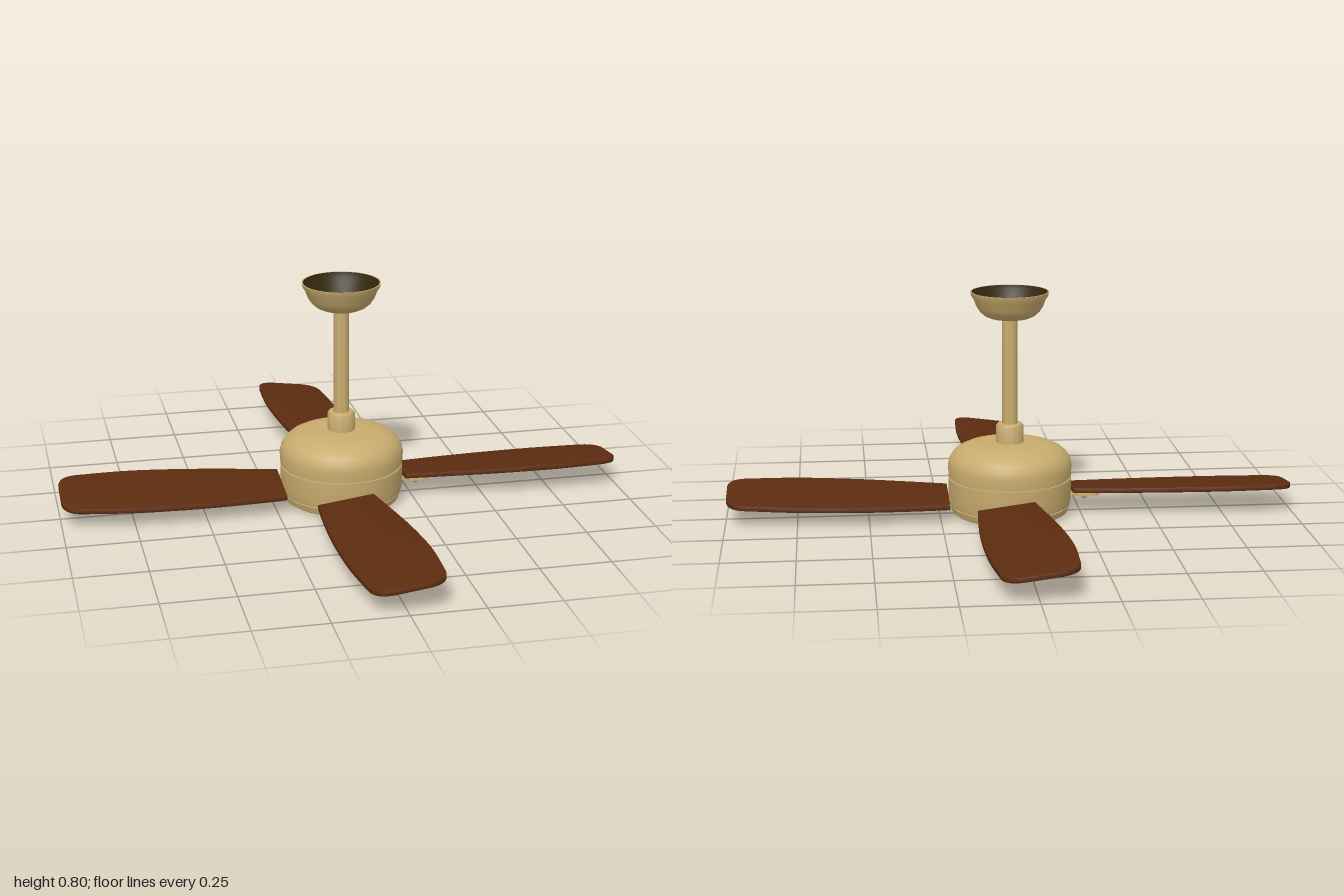
import * as THREE from 'three';
import { toCreasedNormals } from 'three/addons/utils/BufferGeometryUtils.js';

const brass = new THREE.MeshStandardMaterial({ color: 0xc8ab6e });
brass.name = 'satin brass';
const wood = new THREE.MeshStandardMaterial({ color: 0x5c2c10 });
wood.name = 'dark wood';
const shade = new THREE.MeshStandardMaterial({ color: 0x33280f });
shade.name = 'dark interior';

function part(name, geometry, material, x = 0, y = 0, z = 0) {
  const mesh = new THREE.Mesh(geometry, material);
  mesh.name = name;
  mesh.position.set(x, y, z);
  return mesh;
}

// Turned part from [radius, height] pairs, listed bottom to top
function turned(name, profile, material) {
  const points = profile.map(([r, y]) => new THREE.Vector2(r, y));
  return part(name, toCreasedNormals(new THREE.LatheGeometry(points, 64), 0.6), material);
}

const pitch = 0.13;

// Blade pointing along +x; side mirrors its outline and its pitch
function bladeGeometry(side, rootY, rise) {
  const v = (x, z) => new THREE.Vector2(x, z * side);
  const s = new THREE.Shape();
  s.moveTo(0.22, -0.13 * side);
  s.splineThru([v(0.36, -0.14), v(0.55, -0.145), v(0.75, -0.138), v(0.93, -0.118)]);
  s.quadraticCurveTo(0.99, -0.11 * side, 0.997, -0.05 * side);
  s.lineTo(0.997, 0.07 * side);
  s.quadraticCurveTo(0.99, 0.128 * side, 0.93, 0.131 * side);
  s.splineThru([v(0.75, 0.135), v(0.55, 0.118), v(0.36, 0.09), v(0.22, 0.067)]);
  const g = new THREE.ExtrudeGeometry(s, {
    depth: 0.012, curveSegments: 10,
    bevelEnabled: true, bevelThickness: 0.003, bevelSize: 0.003, bevelOffset: -0.003, bevelSegments: 2,
  });
  g.rotateX(Math.PI / 2);
  // Pitch the blade across its width and lift it towards the tip
  const p = g.attributes.position;
  for (let i = 0; i < p.count; i++) {
    const along = (p.getX(i) - 0.22) / 0.78;
    p.setY(i, p.getY(i) + rootY + rise * along + pitch * side * p.getZ(i));
  }
  return toCreasedNormals(g, 0.6);
}

// Mounting plate with a rounded front, an arm to the hub and three screws
function bracket(side) {
  const group = new THREE.Group();
  group.name = 'bladeBracket';
  const s = new THREE.Shape();
  s.moveTo(0.17, -0.035);
  s.lineTo(0.22, -0.035);
  s.lineTo(0.235, -0.065);
  s.lineTo(0.285, -0.065);
  s.quadraticCurveTo(0.315, -0.06, 0.315, -0.03);
  s.lineTo(0.315, 0.03);
  s.quadraticCurveTo(0.315, 0.06, 0.285, 0.065);
  s.lineTo(0.235, 0.065);
  s.lineTo(0.22, 0.035);
  s.lineTo(0.17, 0.035);
  const plate = new THREE.ExtrudeGeometry(s, { depth: 0.009, bevelEnabled: false });
  plate.rotateX(Math.PI / 2);
  group.add(part('bracketPlate', plate, brass));
  for (const [x, z] of [[0.26, -0.045], [0.295, 0], [0.26, 0.045]]) {
    const screw = new THREE.SphereGeometry(0.011, 12, 6, 0, Math.PI * 2, Math.PI / 2, Math.PI / 2);
    group.add(part('bracketScrew', screw, brass, x, -0.009, z));
  }
  group.rotation.x = -Math.atan(pitch) * side;
  return group;
}

export function createModel() {
  const model = new THREE.Group();
  model.name = 'ceilingFan';

  // Motor housing: base cap, drum with seam grooves, and domed top
  model.add(turned('baseCap', [[0, 0.005], [0.195, 0.008], [0.204, 0.014], [0.21, 0.036], [0.203, 0.036]], brass));
  model.add(turned('motorDrum', [[0.203, 0.034], [0.203, 0.041], [0.213, 0.041], [0.217, 0.06],
    [0.217, 0.137], [0.211, 0.137], [0.211, 0.145]], brass));
  model.add(turned('motorDome', [[0.211, 0.143], [0.217, 0.143], [0.219, 0.18], [0.214, 0.203], [0.202, 0.222],
    [0.183, 0.238], [0.158, 0.25], [0.128, 0.258], [0.09, 0.262], [0.04, 0.263]], brass));

  // Down rod with its collar
  model.add(turned('rodCollar', [[0.048, 0.255], [0.048, 0.322], [0.043, 0.33], [0.025, 0.33]], brass));
  model.add(turned('downRod', [[0.027, 0.3], [0.027, 0.725], [0.015, 0.725], [0.015, 0.69]], brass));
  model.add(part('rodBore', new THREE.CylinderGeometry(0.015, 0.015, 0.004, 24), shade, 0, 0.69, 0));

  // Open ceiling canopy with a dark inside
  const cup = [[0.07, 0.708], [0.088, 0.716], [0.104, 0.73], [0.116, 0.748], [0.125, 0.772],
    [0.134, 0.786], [0.137, 0.8]];
  model.add(turned('canopyShell', [...cup, [0.132, 0.8]], brass));
  const lining = cup.map(([r, y]) => [r - 0.005, y]).reverse();
  model.add(turned('canopyLining', [...lining, [0.07, 0.708]], shade));

  // Four blades; neighbours mirror each other, opposite ones match
  const blades = [
    { turn: 0, side: 1, rootY: 0.085, rise: 0.012 },
    { turn: -Math.PI / 2, side: -1, rootY: 0.085, rise: 0.012 },
    { turn: Math.PI, side: 1, rootY: 0.091, rise: 0.004 },
    { turn: Math.PI / 2, side: -1, rootY: 0.091, rise: 0.004 },
  ];
  for (const { turn, side, rootY, rise } of blades) {
    const arm = new THREE.Group();
    arm.name = 'bladeArm';
    const plate = bracket(side);
    plate.position.y = rootY - 0.017;
    arm.add(part('blade', bladeGeometry(side, rootY, rise), wood), plate);
    arm.rotation.y = turn;
    model.add(arm);
  }
  return model;
}
